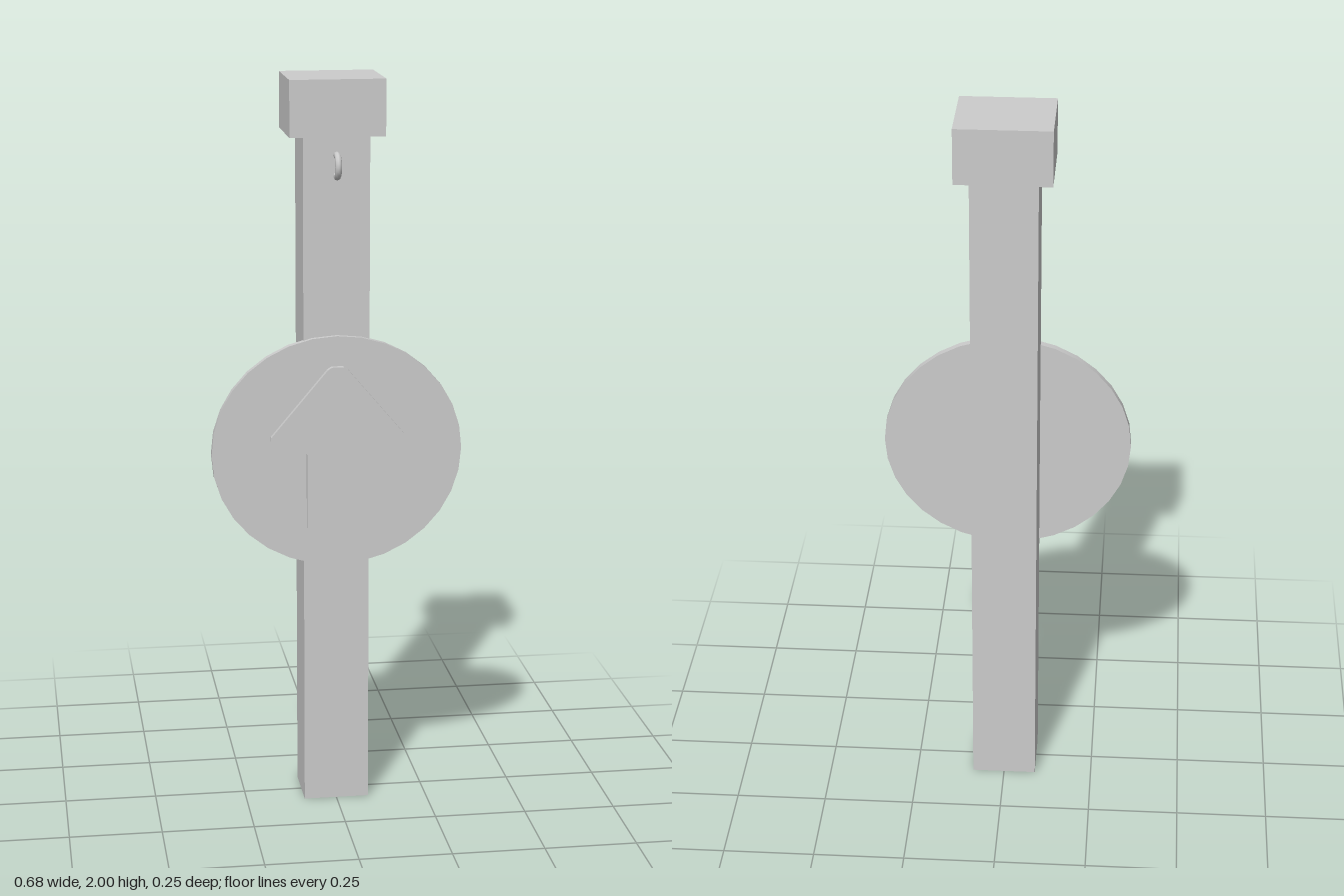
import * as THREE from 'three';

export function createModel() {
  const model = new THREE.Group();
  const grey = new THREE.MeshStandardMaterial({ color: 0xcccccc });
  grey.name = 'light grey';

  const add = (name, geometry, x, y, z) => {
    const mesh = new THREE.Mesh(geometry, grey);
    mesh.name = name;
    mesh.position.set(x, y, z);
    model.add(mesh);
    return mesh;
  };

  // Square post and its overhanging cap
  add('post', new THREE.BoxGeometry(0.178, 1.85, 0.162), 0, 0.925, -0.005);
  add('cap', new THREE.BoxGeometry(0.254, 0.15, 0.225), 0, 1.925, -0.0125);

  // Slightly oval sign plate, sunk a little into the post face
  const plate = new THREE.CylinderGeometry(1, 1, 0.021, 32);
  plate.rotateX(Math.PI / 2);
  plate.scale(0.339, 0.317, 1);
  add('signPlate', plate, 0, 1.003, 0.0795);

  // Raised arrow with clipped corners: right half, mirrored for the left
  const half = [
    [0.016, 1.238], [0.027, 1.231], [0.18, 1.05], [0.181, 1.04], [0.169, 1.027],
    [0.112, 1.027], [0.094, 1.018], [0.083, 1.0], [0.083, 0.795], [0.06, 0.772],
  ];
  const outline = [...half, ...half.map(([x, y]) => [-x, y]).reverse()];
  const shape = new THREE.Shape(outline.map(([x, y]) => new THREE.Vector2(x, y)));
  const arrow = new THREE.ExtrudeGeometry(shape, { depth: 0.017, bevelEnabled: false });
  add('arrow', arrow, 0, 0, 0.089);

  // Small hook ring, open towards the post
  const arc = Math.PI * 1.36;
  const ring = new THREE.TorusGeometry(0.029, 0.009, 8, 14, arc);
  ring.rotateZ(-arc / 2);
  ring.rotateY(-Math.PI / 2);
  add('hook', ring, 0, 1.773, 0.085);

  return model;
}
